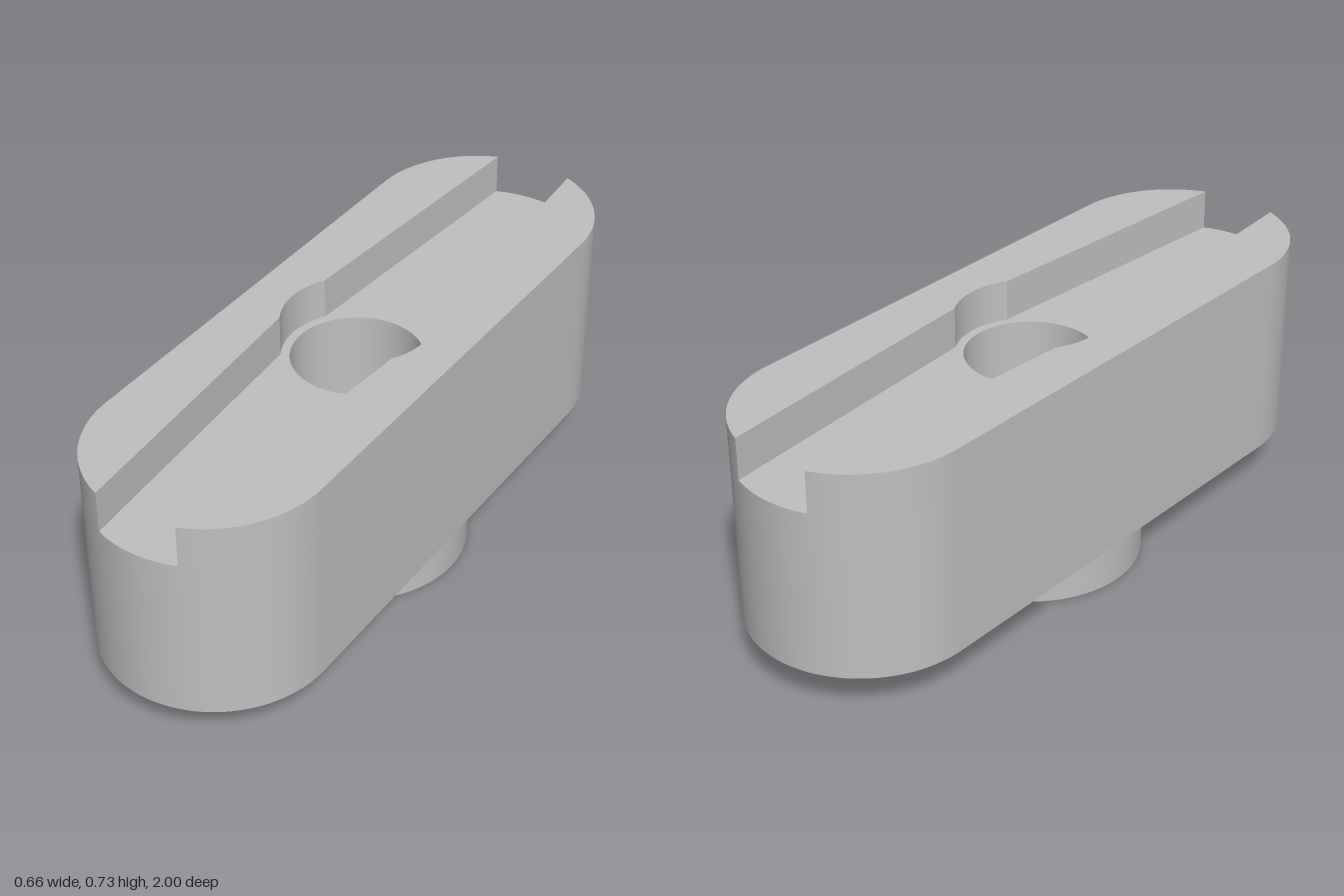
import * as THREE from 'three';
import { toCreasedNormals } from 'three/addons/utils/BufferGeometryUtils.js';

const ARC = 32;
const END_R = 0.33, END_Z = 0.67;       // rounded ends of the body
const BOTTOM = 0.13, FLOOR = 0.61, TOP = 0.73;
const SOCKET_TOP = 0.19, BORE_FLOOR = 0.3;

const circle = (r) => new THREE.Shape().absarc(0, 0, r, 0, Math.PI * 2, false);

function rectangle(w, d) {
  return new THREE.Shape([[-1, -1], [1, -1], [1, 1], [-1, 1]]
    .map(([x, y]) => new THREE.Vector2(x * w / 2, y * d / 2)));
}

function stadium() {
  const s = new THREE.Shape();
  s.absarc(0, END_Z, END_R, 0, Math.PI, false);
  s.absarc(0, -END_Z, END_R, Math.PI, Math.PI * 2, false);
  return s;
}

// One side of the tapered groove, widened round the bore
function cheekOutline() {
  const a = Math.acos(0.12 / END_R), b = Math.asin(0.11 / 0.21);
  const s = new THREE.Shape();
  s.absarc(0, -END_Z, END_R, -a, 0, false);
  s.absarc(0, END_Z, END_R, 0, a, false);
  s.absarc(0, 0, 0.21, b, -b, true);
  s.closePath();
  return s;
}

// Upright wall along a counter-clockwise outline; inward turns it to face the middle
function wall(shape, y0, y1, inward = false) {
  let pts = shape.getPoints(ARC);
  pts = pts.filter((p, i) => p.distanceTo(pts[(i + 1) % pts.length]) > 1e-5);
  if (inward) pts.reverse();
  const pos = [];
  pts.forEach((p, i) => {
    const q = pts[(i + 1) % pts.length];
    const a = [p.x, y0, -p.y], b = [q.x, y0, -q.y], c = [q.x, y1, -q.y], d = [p.x, y1, -p.y];
    pos.push(...a, ...b, ...c, ...a, ...c, ...d);
  });
  const g = new THREE.BufferGeometry();
  g.setAttribute('position', new THREE.Float32BufferAttribute(pos, 3));
  return toCreasedNormals(g, Math.PI / 7);
}

// Flat face at height y, facing up or down, with an optional opening
function face(shape, y, up, hole) {
  if (hole) shape.holes.push(hole);
  return new THREE.ShapeGeometry(shape, ARC).rotateX(up ? -Math.PI / 2 : Math.PI / 2).translate(0, y, 0);
}

export function createModel() {
  const grey = new THREE.MeshStandardMaterial({ color: 0xc0c0c0 });
  grey.name = 'grey';
  const model = new THREE.Group();
  model.name = 'slottedBlock';

  function part(name, ...geometries) {
    const group = new THREE.Group();
    group.name = name;
    geometries.forEach((g, i) => {
      const mesh = new THREE.Mesh(g, grey);
      mesh.name = `${name}Surface${i + 1}`;
      group.add(mesh);
    });
    model.add(group);
    return group;
  }

  // Long body with the groove floor on top
  part('body',
    wall(stadium(), BOTTOM, FLOOR),
    face(stadium(), BOTTOM, false, circle(0.32)),
    face(stadium(), FLOOR, true, circle(0.185)));

  // Raised cheeks either side of the groove
  part('leftCheek', wall(cheekOutline(), FLOOR, TOP), face(cheekOutline(), TOP, true));
  part('rightCheek', wall(cheekOutline(), FLOOR, TOP), face(cheekOutline(), TOP, true)).rotation.y = Math.PI;

  // Round boss underneath
  part('boss', wall(circle(0.32), 0, BOTTOM), face(circle(0.32), 0, false, rectangle(0.33, 0.45)));

  // Rectangular socket in the boss
  part('socket',
    wall(rectangle(0.33, 0.45), 0, SOCKET_TOP, true),
    face(rectangle(0.33, 0.45), SOCKET_TOP, false, circle(0.095)));

  // Counterbore from above and the through hole joining it to the socket
  part('counterbore',
    wall(circle(0.185), BORE_FLOOR, FLOOR, true),
    face(circle(0.185), BORE_FLOOR, true, circle(0.095)));
  part('throughHole', wall(circle(0.095), SOCKET_TOP, BORE_FLOOR, true));

  return model;
}
